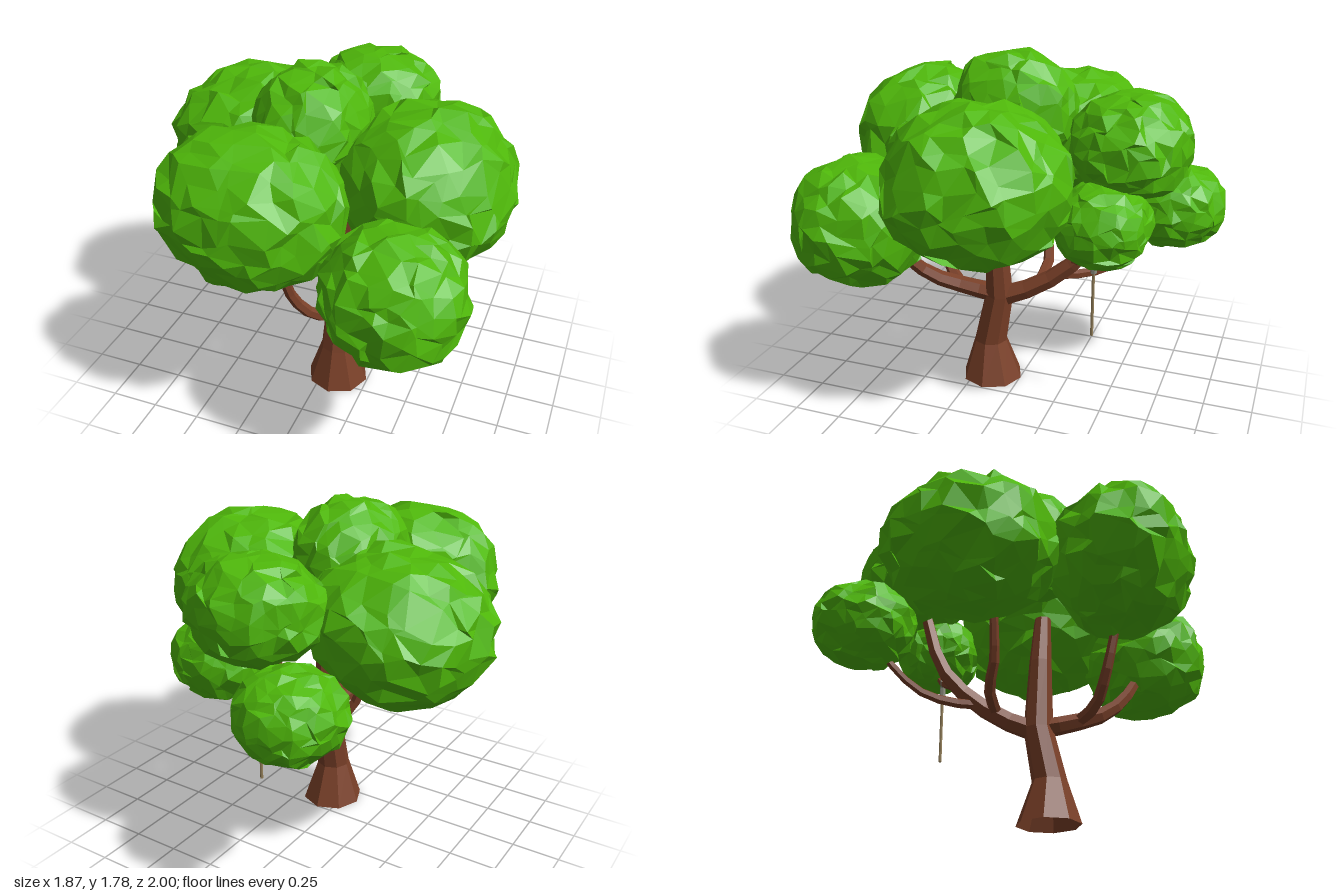
import * as THREE from 'three';
import { mergeVertices } from 'three/addons/utils/BufferGeometryUtils.js';

const mat = (color) => new THREE.MeshStandardMaterial({ color, flatShading: true, side: THREE.DoubleSide });
const leafMat = mat(0x4fb80a);
const barkMat = mat(0x7a4028);
const ropeMat = mat(0x94805a);
const knotMat = mat(0x8a8a7c);

// Seeded pseudo-random numbers
function seeded(seed) {
  let s = seed;
  return () => (s = (s * 16807) % 2147483647) / 2147483647;
}

function add(group, name, geometry, material) {
  const mesh = new THREE.Mesh(geometry, material);
  mesh.name = name;
  group.add(mesh);
  return mesh;
}

// Faceted leaf clump: a slightly boxy icosphere with each vertex nudged, then rolled about z
function leafClump([x, y, z], [rx, ry, rz], roll, seed) {
  let geo = new THREE.IcosahedronGeometry(1, 4);
  geo.deleteAttribute('normal');
  geo.deleteAttribute('uv');
  geo = mergeVertices(geo, 1e-4);
  const rand = seeded(seed * 7919 + 17);
  for (let i = 0; i < 10; i++) rand();
  const pos = geo.attributes.position;
  const v = new THREE.Vector3();
  const nudge = () => (rand() - 0.5) * 0.22;
  const power = 2.12;
  for (let i = 0; i < pos.count; i++) {
    v.fromBufferAttribute(pos, i);
    v.set(v.x + nudge(), v.y + nudge(), v.z + nudge()).normalize();
    const sum = Math.abs(v.x) ** power + Math.abs(v.y) ** power + Math.abs(v.z) ** power;
    v.multiplyScalar(sum ** (-1 / power) * (0.92 + 0.11 * rand()));
    pos.setXYZ(i, v.x * rx, v.y * ry, v.z * rz);
  }
  geo.rotateZ(roll);
  geo.translate(x, y, z);
  geo.computeVertexNormals();
  return geo;
}

// Trunk: cylinder rows moved onto leaning rings [y, x, z, radius]
function trunkGeometry(rings) {
  const sides = 8;
  const geo = new THREE.CylinderGeometry(1, 1, 1, sides, rings.length - 1, true);
  const pos = geo.attributes.position;
  for (let i = 0; i < pos.count; i++) {
    const row = rings.length - 1 - Math.floor(i / (sides + 1));
    const [y, x, z, r] = rings[row];
    pos.setXYZ(i, x + pos.getX(i) * r, y, z + pos.getZ(i) * r);
  }
  geo.computeVertexNormals();
  return geo;
}

// Branch: a tube narrowing from r0 to r1
function branchGeometry(points, r0, r1) {
  const curve = new THREE.CatmullRomCurve3(points.map((p) => new THREE.Vector3(...p)));
  const segments = 7, sides = 6;
  const geo = new THREE.TubeGeometry(curve, segments, 1, sides);
  const pos = geo.attributes.position;
  const v = new THREE.Vector3();
  for (let i = 0; i < pos.count; i++) {
    const t = Math.floor(i / (sides + 1)) / segments;
    const c = curve.getPointAt(t);
    v.fromBufferAttribute(pos, i).sub(c).multiplyScalar(r0 + (r1 - r0) * t).add(c);
    pos.setXYZ(i, v.x, v.y, v.z);
  }
  geo.computeVertexNormals();
  return geo;
}

export function createModel() {
  const tree = new THREE.Group();
  tree.name = 'tree';

  // Flared, leaning trunk
  add(tree, 'trunk', trunkGeometry([
    [0, 0.08, 0.16, 0.165],
    [0.22, 0.08, 0.168, 0.09],
    [0.5, 0.08, 0.115, 0.077],
    [0.88, 0.097, 0.128, 0.06],
    [1.15, 0.125, 0.14, 0.045],
  ]), barkMat);

  // Limbs and their forks
  const branches = [
    ['frontBranch', [[0.085, 0.5, 0.11], [0.11, 0.53, 0.28], [0.18, 0.6, 0.46], [0.28, 0.75, 0.58], [0.38, 0.9, 0.63]], 0.052, 0.026],
    ['frontFork', [[0.11, 0.545, 0.33], [0.04, 0.6, 0.42], [-0.04, 0.72, 0.48], [-0.08, 0.98, 0.55]], 0.034, 0.022],
    ['backBranch', [[0.085, 0.49, 0.1], [0.06, 0.55, -0.05], [0.03, 0.66, -0.22], [0.0, 0.84, -0.38], [0.02, 1.22, -0.5]], 0.055, 0.03],
    ['leftFork', [[0.05, 0.59, -0.1], [-0.12, 0.66, -0.1], [-0.2, 0.77, -0.06], [-0.26, 1.0, -0.05]], 0.032, 0.022],
    ['backFork', [[0.03, 0.64, -0.2], [-0.03, 0.64, -0.33], [-0.11, 0.68, -0.47], [-0.2, 0.8, -0.6], [-0.25, 0.95, -0.7]], 0.028, 0.016],
    ['rightFork', [[0.025, 0.72, -0.27], [0.08, 0.78, -0.36], [0.17, 0.84, -0.43], [0.28, 0.95, -0.48]], 0.026, 0.016],
  ];
  for (const [name, points, r0, r1] of branches) {
    add(tree, name, branchGeometry(points, r0, r1), barkMat);
  }

  // Leaf clumps: centre, radii and roll
  const clumps = [
    ['topLeaves', [-0.08, 1.48, 0.08], [0.285, 0.31, 0.335], 0],
    ['leftLeaves', [0.5, 1.265, 0.06], [0.43, 0.395, 0.46], 0],
    ['rightLeaves', [-0.485, 1.27, -0.125], [0.45, 0.365, 0.445], 0.25],
    ['frontLeaves', [-0.18, 1.28, 0.595], [0.46, 0.38, 0.37], 0],
    ['lowFrontLeaves', [0.53, 1.02, 0.66], [0.345, 0.32, 0.34], 0],
    ['backLeaves', [0.04, 1.385, -0.56], [0.34, 0.265, 0.305], 0],
    ['lowBackRightLeaves', [-0.265, 1.0, -0.73], [0.265, 0.225, 0.27], 0],
    ['lowBackLeftLeaves', [0.305, 1.07, -0.5], [0.25, 0.21, 0.235], 0],
  ];
  clumps.forEach(([name, centre, radii, roll], i) => add(tree, name, leafClump(centre, radii, roll, i + 1), leafMat));

  // Hanging rope with its knot and loop over the branch
  const swing = new THREE.Group();
  swing.name = 'hangingRope';
  swing.position.set(0.15, 0, -0.42);
  add(swing, 'rope', new THREE.CylinderGeometry(0.008, 0.008, 0.42, 6), ropeMat).position.y = 0.59;
  add(swing, 'knot', new THREE.CylinderGeometry(0.014, 0.017, 0.08, 6), knotMat).position.y = 0.775;
  add(swing, 'loop', new THREE.TorusGeometry(0.026, 0.007, 5, 10), knotMat).position.y = 0.825;
  tree.add(swing);

  return tree;
}
